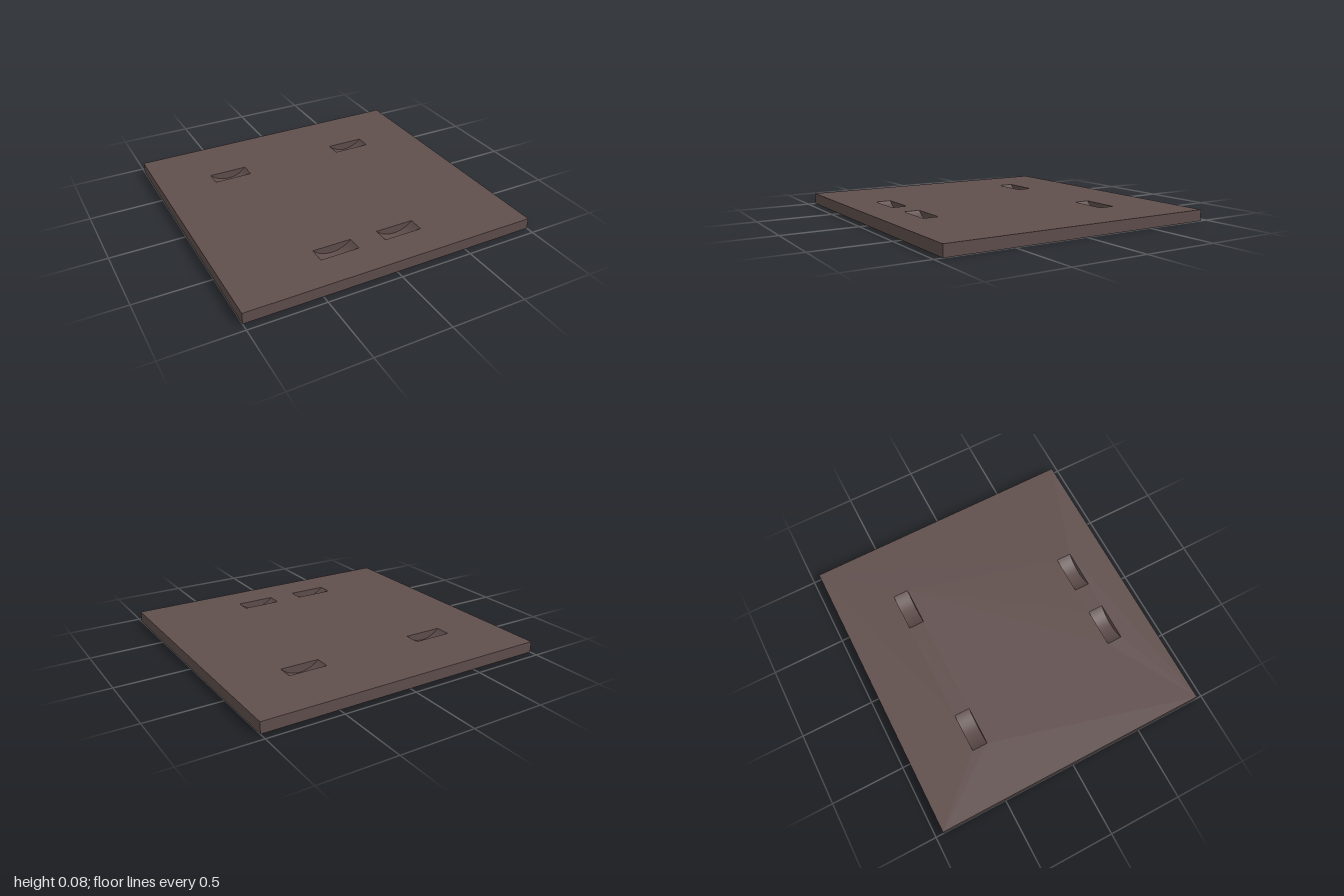
import * as THREE from 'three';

const W = 2, D = 1.89, H = 0.075;               // slab
const SLOT_W = 0.264, SLOT_D = 0.105, DEPTH = 0.055; // curved wheel slots
const R = ((SLOT_W / 2) ** 2 + DEPTH ** 2) / (2 * DEPTH);
const HALF_ANGLE = Math.asin(SLOT_W / 2 / R);
const SLOTS = [[-0.495, -0.493], [0.468, -0.493], [-0.267, 0.663], [0.185, 0.663]];

const material = new THREE.MeshStandardMaterial({ color: 0x5f4e4c, side: THREE.DoubleSide });

function addMesh(parent, name, geometry) {
  const mesh = new THREE.Mesh(geometry, material);
  mesh.name = name;
  parent.add(mesh);
  return mesh;
}

// Rectangle outline centred on (x, y)
function rectPoints(x, y, w, h) {
  return [[-1, -1], [1, -1], [1, 1], [-1, 1]].map(
    ([a, b]) => new THREE.Vector2(x + a * w / 2, y + b * h / 2));
}

// Recess with a cylindrical floor and two flat side walls; origin at the slab top
function createSlot() {
  const slot = new THREE.Group();
  const floor = new THREE.CylinderGeometry(R, R, SLOT_D, 32, 1, true, -HALF_ANGLE, 2 * HALF_ANGLE);
  floor.rotateX(Math.PI / 2);
  addMesh(slot, 'slotFloor', floor).position.y = R - DEPTH;

  const segment = new THREE.Shape();
  segment.absarc(0, R - DEPTH, R, -Math.PI / 2 - HALF_ANGLE, -Math.PI / 2 + HALF_ANGLE, false);
  for (const side of [-1, 1]) {
    const wall = addMesh(slot, side < 0 ? 'slotBackWall' : 'slotFrontWall', new THREE.ShapeGeometry(segment, 32));
    wall.position.z = side * SLOT_D / 2;
    if (side > 0) wall.rotation.y = Math.PI;
  }
  return slot;
}

export function createModel() {
  const model = new THREE.Group();
  model.name = 'slottedBase';

  // Slab sides and underside: a box with its top face (third of six) left out
  const box = new THREE.BoxGeometry(W, H, D);
  const index = Array.from(box.index.array);
  index.splice(12, 6);
  box.setIndex(index);
  box.clearGroups();
  addMesh(model, 'slabBody', box).position.y = H / 2;

  // Top face with the slot openings cut out
  const top = new THREE.Shape(rectPoints(0, 0, W, D));
  for (const [x, z] of SLOTS) top.holes.push(new THREE.Path(rectPoints(x, -z, SLOT_W, SLOT_D)));
  const topGeometry = new THREE.ShapeGeometry(top);
  topGeometry.rotateX(-Math.PI / 2);
  addMesh(model, 'slabTop', topGeometry).position.y = H;

  // Four slots
  SLOTS.forEach(([x, z]) => {
    const slot = createSlot();
    slot.name = (z < 0 ? 'back' : 'front') + (x < 0 ? 'Right' : 'Left') + 'Slot';
    slot.position.set(x, H, z);
    model.add(slot);
  });

  return model;
}
